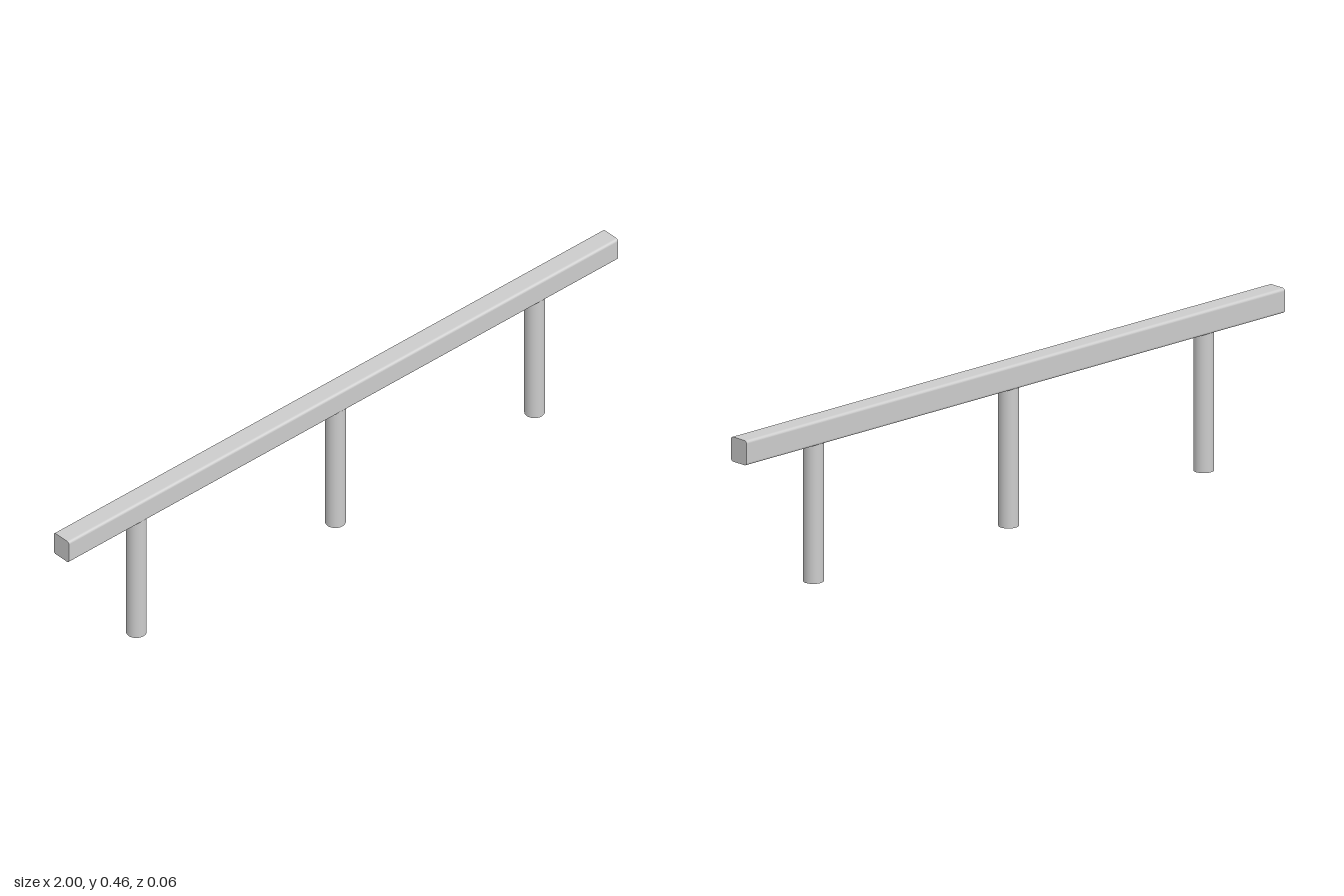
import * as THREE from 'three';

const material = new THREE.MeshStandardMaterial({ color: 0xcccccc });
const openMaterial = new THREE.MeshStandardMaterial({ color: 0xcccccc, side: THREE.DoubleSide });

// Rectangle with rounded corners, centred on the origin
function roundedRect(w, h, r) {
  const x = w / 2, y = h / 2;
  const s = new THREE.Shape();
  s.moveTo(-x + r, -y);
  s.lineTo(x - r, -y);
  s.absarc(x - r, -y + r, r, -Math.PI / 2, 0);
  s.lineTo(x, y - r);
  s.absarc(x - r, y - r, r, 0, Math.PI / 2);
  s.lineTo(-x + r, y);
  s.absarc(-x + r, y - r, r, Math.PI / 2, Math.PI);
  s.lineTo(-x, -y + r);
  s.absarc(-x + r, -y + r, r, Math.PI, Math.PI * 1.5);
  return s;
}

export function createModel() {
  const model = new THREE.Group();
  model.name = 'guardRail';

  // Long beam with softened edges, running along x
  const beamGeometry = new THREE.ExtrudeGeometry(roundedRect(0.061, 0.07, 0.008), {
    depth: 2, bevelEnabled: false, curveSegments: 6,
  });
  beamGeometry.translate(0, 0, -1).rotateY(Math.PI / 2);
  const beam = new THREE.Mesh(beamGeometry, material);
  beam.name = 'beam';
  beam.position.y = 0.427;
  model.add(beam);

  // Three round hollow posts, open at the foot
  const postHeight = 0.395;
  const postGeometry = new THREE.CylinderGeometry(0.028, 0.028, postHeight, 32, 1, true);
  ['rightPost', 'middlePost', 'leftPost'].forEach((name, i) => {
    const post = new THREE.Mesh(postGeometry, openMaterial);
    post.name = name;
    post.position.set((i - 1) * 0.725 - 0.002, postHeight / 2, 0);
    model.add(post);
  });

  return model;
}
